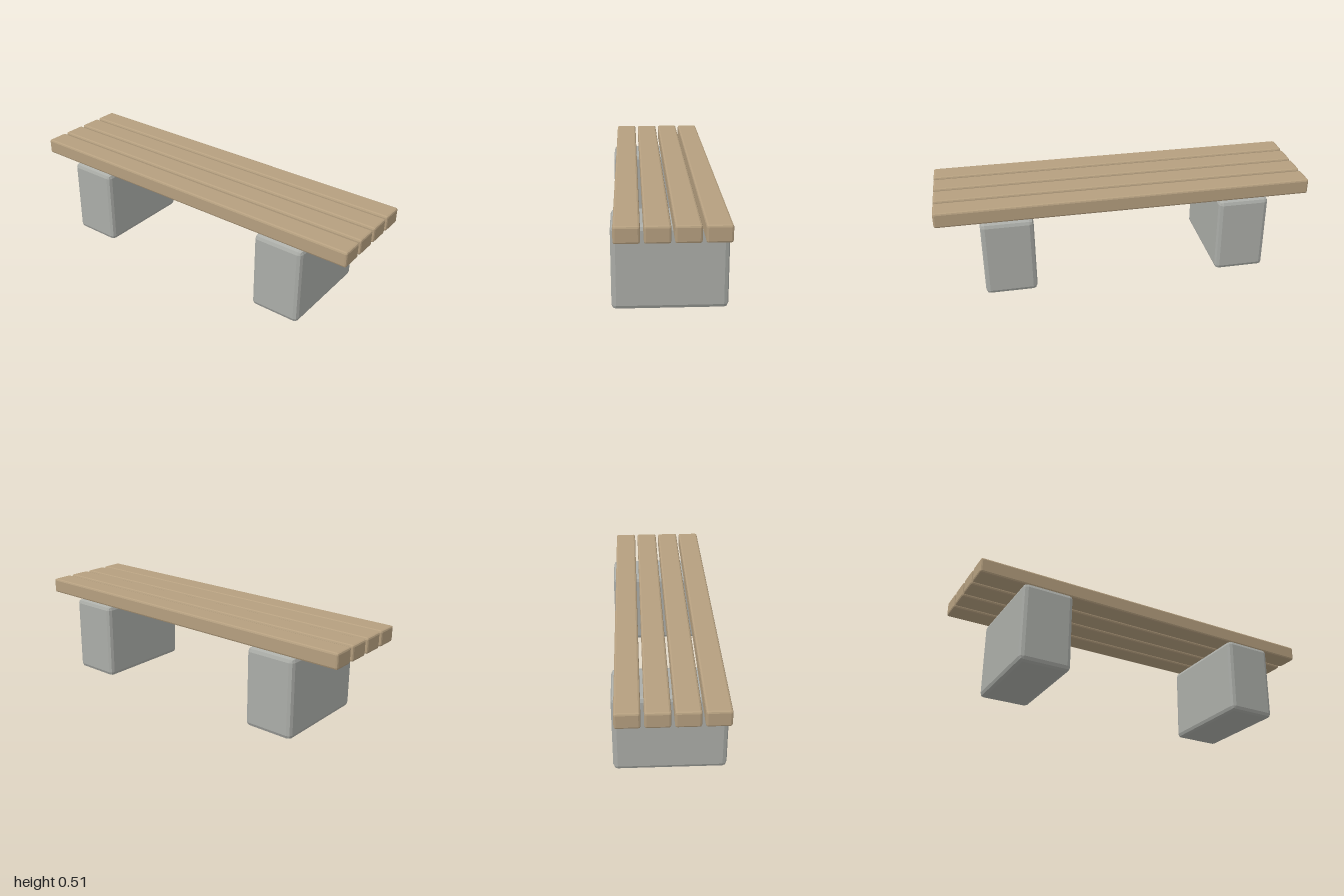
import * as THREE from 'three';
import { RoundedBoxGeometry } from 'three/addons/geometries/RoundedBoxGeometry.js';

// Box with a faceted two-step bevel, resting on the height y0
function bevelBox(name, [w, h, d], radius, material, [x, y0, z]) {
  const mesh = new THREE.Mesh(new RoundedBoxGeometry(w, h, d, 1, radius), material);
  mesh.name = name;
  mesh.position.set(x, y0 + h / 2, z);
  return mesh;
}

export function createModel() {
  const bench = new THREE.Group();
  bench.name = 'bench';

  const wood = new THREE.MeshStandardMaterial({ color: 0xb59f7f, flatShading: true });
  wood.name = 'wood';
  const concrete = new THREE.MeshStandardMaterial({ color: 0xabada8, flatShading: true });
  concrete.name = 'concrete';

  // Two concrete blocks, mirrored left and right
  for (const [side, name] of [[1, 'leftBlock'], [-1, 'rightBlock']]) {
    bench.add(bevelBox(name, [0.275, 0.428, 0.564], 0.023, concrete, [side * 0.635, 0, 0]));
  }

  // Four seat slats, evenly spaced from back to front
  for (let i = 0; i < 4; i++) {
    const z = (i - 1.5) * 0.136;
    bench.add(bevelBox(`seatSlat${i + 1}`, [2, 0.083, 0.12], 0.01, wood, [0, 0.426, z]));
  }

  return bench;
}
